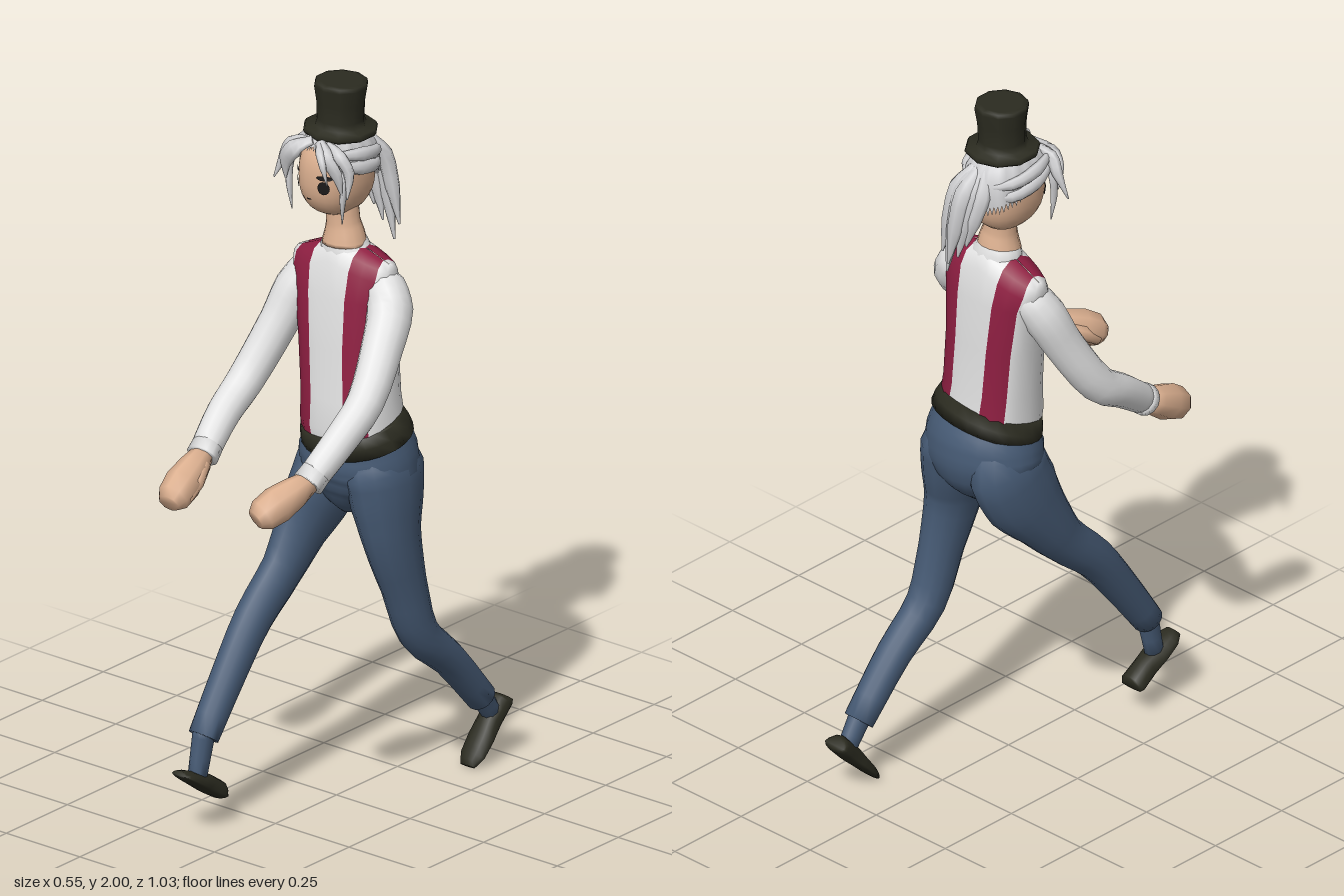
import * as THREE from 'three';
import { mergeVertices } from 'three/addons/utils/BufferGeometryUtils.js';

const paint = (name, color, side = THREE.FrontSide) => {
  const m = new THREE.MeshStandardMaterial({ color, side });
  m.name = name;
  return m;
};

export function createModel() {
  const white = paint('shirt white', 0xe2e2e2);
  const red = paint('stripe red', 0x8f1f42);
  const blue = paint('trouser blue', 0x465a74);
  const dark = paint('dark leather', 0x2b2b20);
  const skin = paint('skin', 0xdcb090);
  const silver = paint('silver hair', 0xd0d0d2, THREE.DoubleSide);
  const black = paint('face black', 0x1c1a1a);

  const model = new THREE.Group();
  const add = (name, geo, mat) => {
    const mesh = new THREE.Mesh(geo, mat);
    mesh.name = name;
    model.add(mesh);
    return mesh;
  };
  const finish = (pos, idx) => {
    const g = new THREE.BufferGeometry();
    g.setAttribute('position', new THREE.Float32BufferAttribute(pos, 3));
    g.setIndex(idx);
    g.computeVertexNormals();
    return g;
  };

  // Elliptical limb through sections [x, y, z, sideRadius, normalRadius]
  const loft = (secs, sides = 14, steps = 3, low = 1) => {
    const curve = new THREE.CatmullRomCurve3(secs.map(s => new THREE.Vector3(s[0], s[1], s[2])));
    const n = (secs.length - 1) * steps, pos = [], idx = [];
    const X = new THREE.Vector3(1, 0, 0);
    for (let i = 0; i <= n; i++) {
      const t = i / n, k = Math.min(Math.floor(i / steps), secs.length - 2), f = i / steps - k;
      const c = curve.getPoint(t), T = curve.getTangent(t);
      const S = X.clone().addScaledVector(T, -T.x).normalize();
      const N = T.clone().cross(S);
      const rx = THREE.MathUtils.lerp(secs[k][3], secs[k + 1][3], f);
      const rn = THREE.MathUtils.lerp(secs[k][4], secs[k + 1][4], f);
      for (let j = 0; j < sides; j++) {
        const a = j / sides * Math.PI * 2, s = Math.sin(a);
        const p = c.clone().addScaledVector(S, rx * Math.cos(a)).addScaledVector(N, rn * s * (s < 0 ? low : 1));
        pos.push(p.x, p.y, p.z);
        if (i < n) {
          const q = i * sides + j, r = i * sides + (j + 1) % sides;
          idx.push(q, r, q + sides, r, r + sides, q + sides);
        }
      }
    }
    // end caps
    for (let j = 1; j < sides - 1; j++) {
      const e = n * sides;
      idx.push(0, j + 1, j, e, e + j, e + j + 1);
    }
    return finish(pos, idx);
  };

  // Shirt body: rings [y, shoulderDrop, cx, cz, halfX, halfZ], striped by column
  const half = [1, 0.96, 0.84, 0.62, 0.4, 0.2, 0];
  const across = [...half, ...half.slice(0, -1).reverse().map(u => -u)];
  const columns = [...across.map(u => [u, -1]), ...across.slice(1, -1).reverse().map(u => [u, 1])];
  const rings = [
    [1.0, 0, 0.012, -0.06, 0.138, 0.11], [1.06, 0, 0.012, -0.052, 0.138, 0.115], [1.14, 0, 0.005, -0.053, 0.136, 0.104],
    [1.28, 0, -0.005, -0.055, 0.139, 0.098], [1.42, 0, -0.015, -0.06, 0.153, 0.088],
    [1.515, 0.05, -0.02, -0.063, 0.164, 0.073], [1.552, 0.055, -0.021, -0.063, 0.165, 0.052],
    [1.57, 0.06, -0.021, -0.063, 0.16, 0.02], [1.572, 0.062, -0.021, -0.063, 0.155, 0.001],
  ];
  const pos = [], plain = [], striped = [], m = columns.length;
  rings.forEach(([y, drop, cx, cz, a, c], i) => columns.forEach(([u, s], j) => {
    const w = Math.abs(u);
    pos.push(cx + u * a, y - drop * w + (drop ? 0.01 * u : 0), cz + s * c * (1 - w ** 2.5) ** 0.4);
    if (i === rings.length - 1) return;
    const mid = Math.abs(u + columns[(j + 1) % m][0]) / 2;
    const q = i * m + j, r = i * m + (j + 1) % m;
    (mid > 0.4 && mid < 0.84 ? striped : plain).push(q, r, q + m, r, r + m, q + m);
  }));
  const body = finish(pos, [...plain, ...striped]);
  body.addGroup(0, plain.length, 0);
  body.addGroup(plain.length, striped.length, 1);
  add('shirtBody', body, [white, red]);
  add('collar', loft([[-0.018, 1.52, -0.062, 0.078, 0.062], [-0.02, 1.545, -0.06, 0.07, 0.058], [-0.02, 1.562, -0.058, 0.06, 0.054]]), white);

  // Belt and trousers
  add('belt', loft([[0.018, 1.011, -0.065, 0.165, 0.132], [0.015, 1.039, -0.057, 0.161, 0.129], [0.012, 1.067, -0.049, 0.15, 0.122]], 24, 1), dark);
  add('hips', loft([[0.008, 0.8, -0.07, 0.03, 0.05], [0.008, 0.835, -0.072, 0.085, 0.09], [0.01, 0.88, -0.076, 0.145, 0.122],
    [0.013, 0.93, -0.078, 0.174, 0.138], [0.015, 0.98, -0.072, 0.168, 0.139], [0.015, 1.035, -0.06, 0.152, 0.122]], 24), blue);
  add('rightLeg', loft([[-0.055, 1.0, -0.085, 0.055, 0.08], [-0.081, 0.92, -0.09, 0.08, 0.122], [-0.095, 0.82, -0.045, 0.075, 0.116], [-0.11, 0.73, 0.015, 0.06, 0.086],
    [-0.115, 0.64, 0.085, 0.052, 0.065], [-0.12, 0.535, 0.198, 0.05, 0.056], [-0.12, 0.405, 0.3, 0.046, 0.049], [-0.12, 0.265, 0.4, 0.042, 0.042]]), blue);
  add('leftLeg', loft([[0.075, 1.0, -0.07, 0.07, 0.1], [0.1, 0.93, -0.073, 0.087, 0.128], [0.113, 0.84, -0.072, 0.08, 0.114], [0.126, 0.75, -0.074, 0.066, 0.092],
    [0.136, 0.6, -0.112, 0.055, 0.068], [0.141, 0.45, -0.165, 0.053, 0.056], [0.147, 0.34, -0.28, 0.048, 0.047], [0.15, 0.19, -0.41, 0.042, 0.042]]), blue);
  add('rightAnkle', loft([[-0.12, 0.29, 0.395, 0.032, 0.032], [-0.122, 0.15, 0.425, 0.024, 0.028]], 10), blue);
  add('leftAnkle', loft([[0.149, 0.21, -0.4, 0.032, 0.032], [0.146, 0.12, -0.465, 0.024, 0.028]], 10), blue);

  // Shoes run heel to toe with a flattened sole
  const shoe = (name, heel, toe) => {
    const profile = [[0, 0.034, 0.018], [0.06, 0.039, 0.034], [0.35, 0.036, 0.036], [0.6, 0.041, 0.027], [0.85, 0.039, 0.02], [1, 0.024, 0.012]];
    add(name, loft(profile.map(([t, rx, rn]) => [...heel.map((h, k) => h + (toe[k] - h) * t), rx, rn]), 12, 2, 0.45), dark);
  };
  shoe('rightShoe', [-0.122, 0.084, 0.337], [-0.122, 0.187, 0.497]);
  shoe('leftShoe', [0.145, 0.158, -0.507], [0.145, 0.006, -0.362]);

  // Sleeves, cuffs and closed hands
  const arm = (side, sleeve, hand, thumb) => {
    const [p, w] = sleeve.slice(-2), cuff = w.slice(0, 3).map((v, k) => v + (v - p[k]) * 0.06);
    const back = w.slice(0, 3).map((v, k) => v - (v - p[k]) * 0.2);
    add(side + 'Sleeve', loft(sleeve.map(s => [...s, s[3]])), white);
    add(side + 'Cuff', loft([[...back, 0.042, 0.042], [...cuff, 0.044, 0.044]], 14, 1), white);
    const sizes = [[0, 0.03, 0.03], [0.27, 0.042, 0.041], [0.6, 0.05, 0.051], [0.88, 0.045, 0.045], [1, 0.031, 0.028]];
    add(side + 'Hand', loft(sizes.map(([t, rx, rn]) => [...w.slice(0, 3).map((v, k) => v + (hand[k] - v) * t), rx, rn]), 8, 1), skin);
    add(side + 'Thumb', loft(thumb, 7, 1), skin);
  };
  arm('left', [[0.085, 1.465, -0.063, 0.04], [0.115, 1.452, -0.06, 0.056], [0.148, 1.405, -0.04, 0.062], [0.18, 1.33, 0.03, 0.056], [0.22, 1.22, 0.15, 0.05],
    [0.217, 1.15, 0.24, 0.046], [0.2, 1.06, 0.35, 0.041]], [0.145, 0.985, 0.505],
    [[0.16, 1.045, 0.37, 0.015, 0.018], [0.132, 1.02, 0.42, 0.02, 0.02], [0.122, 0.985, 0.465, 0.013, 0.013]]);
  arm('right', [[-0.11, 1.452, -0.063, 0.04], [-0.138, 1.437, -0.06, 0.055], [-0.166, 1.385, -0.035, 0.06], [-0.19, 1.3, 0.005, 0.054], [-0.228, 1.15, 0.1, 0.05],
    [-0.225, 1.09, 0.19, 0.046], [-0.207, 1.012, 0.295, 0.041]], [-0.192, 0.925, 0.455],
    [[-0.18, 0.995, 0.32, 0.015, 0.018], [-0.165, 0.965, 0.37, 0.018, 0.02], [-0.165, 0.93, 0.41, 0.013, 0.013]]);

  // Head: a rounded-off ellipsoid
  const C = [-0.045, 1.75, -0.057], R = [0.086, 0.12, 0.108], E = 2.4;
  const onHead = (x, y, z, grow = 1) => {
    const s = grow * (Math.abs(x) ** E + Math.abs(y) ** E + Math.abs(z) ** E) ** (-1 / E);
    return [C[0] + x * s * R[0], C[1] + y * s * R[1], C[2] + z * s * R[2]];
  };
  const reshape = (geo, rule) => {
    const p = geo.attributes.position;
    for (let i = 0; i < p.count; i++) p.setXYZ(i, ...rule(p.getX(i), p.getY(i), p.getZ(i), geo.attributes.uv, i));
    geo.deleteAttribute('uv');
    geo.deleteAttribute('normal');
    const g = mergeVertices(geo, 1e-5);
    g.computeVertexNormals();
    return g;
  };
  add('head', reshape(new THREE.SphereGeometry(1, 28, 20), (x, y, z) => onHead(x, y, z)), skin);
  add('neck', loft([[-0.02, 1.55, -0.058, 0.064, 0.057], [-0.021, 1.575, -0.058, 0.057, 0.052], [-0.024, 1.61, -0.057, 0.047, 0.044], [-0.03, 1.68, -0.057, 0.044, 0.043]]), skin);

  // Face marks laid on the head surface
  const mark = (name, cx, cy, rx, ry, tilt = 0) => {
    const g = new THREE.CircleGeometry(1, 16);
    add(name, reshape(g, (x, y) => {
      const px = cx + rx * x * Math.cos(tilt) - ry * y * Math.sin(tilt), py = cy + rx * x * Math.sin(tilt) + ry * y * Math.cos(tilt);
      const d = 1 - Math.abs((px - C[0]) / R[0]) ** E - Math.abs((py - C[1]) / R[1]) ** E;
      return [px, py, C[2] + R[2] * Math.max(d, 0) ** (1 / E) + 0.004];
    }), black);
  };
  mark('rightEye', -0.107, 1.73, 0.014, 0.019);
  mark('leftEye', -0.006, 1.736, 0.015, 0.019);
  mark('rightBrow', -0.107, 1.766, 0.02, 0.006, 0.1);
  mark('leftBrow', -0.004, 1.764, 0.021, 0.007, -0.03);
  mark('mouth', -0.054, 1.695, 0.009, 0.0025, 0.1);

  // Hair cap: grooved shell, high over the forehead and low at the back
  add('hairCap', reshape(new THREE.SphereGeometry(1, 64, 10), (x, y, z, uv, i) => {
    const a = uv.getX(i) * Math.PI * 2, v = 1 - uv.getY(i), f = Math.cos(a);
    const t = v * Math.acos(f > 0 ? 0.1 + 0.48 * f * f : 0.1 + 0.4 * f);
    return onHead(Math.sin(t) * Math.sin(a), Math.cos(t), Math.sin(t) * f, 1.1 + 0.025 * v * Math.cos(16 * a));
  }), silver);
  const lock = (name, pts, w, d) => add(name, loft(pts.map((p, k) => {
    const s = [0.55, 1, 0.85, 0.12][k];
    return [...p, w * s, d * s];
  }), 7, 3), silver);
  // Fringe, temple strands and side sweeps
  for (const s of [-1, 1]) {
    const side = s < 0 ? 'right' : 'left', at = (x, y, z) => [-0.045 + s * x, y, z];
    lock(side + 'Fringe', [at(0.012, 1.855, 0.03), at(0.052, 1.83, 0.055), at(0.085, 1.79, 0.05), at(0.095, 1.73, 0.04)], 0.026, 0.013);
    lock(side + 'FringeTip', [at(0.03, 1.85, 0.02), at(0.08, 1.83, 0.03), at(0.108, 1.79, 0.025), at(s < 0 ? 0.138 : 0.11, 1.72, 0.035)], 0.02, 0.016);
    lock(side + 'TempleStrand', [at(0.07, 1.82, 0.02), at(0.092, 1.77, 0.025), at(0.091, 1.71, 0.03), at(0.085, 1.64, 0.025)], 0.01, 0.012);
    lock(side + 'UpperSweep', [at(0.072, 1.83, 0.03), at(0.094, 1.82, -0.04), at(0.082, 1.805, -0.12), at(0.0, 1.785, -0.18)], 0.016, 0.02);
    lock(side + 'LowerSweep', [at(0.08, 1.8, 0.025), at(0.095, 1.782, -0.04), at(0.082, 1.768, -0.12), at(0.0, 1.765, -0.18)], 0.014, 0.02);
  }
  lock('middleFringe', [[-0.035, 1.855, 0.03], [-0.005, 1.84, 0.062], [0.016, 1.81, 0.075], [0.026, 1.76, 0.07]], 0.012, 0.01);

  // Ponytail of tapering strands
  [[0, 0, 1.52], [-0.03, 0.01, 1.57], [0.022, 0.006, 1.57], [-0.055, 0.016, 1.61], [-0.012, -0.008, 1.55]].forEach(([x, z, end], k) =>
    lock('ponytail' + (k + 1), [[-0.03 + x * 0.5, 1.83, -0.145], [-0.012 + x, 1.77, -0.187 + z], [0.006 + x, (1.77 + end) / 2, -0.202 + z], [0.025 + x, end, -0.207 + z]], 0.028, 0.02));

  // Top hat
  const hatProfile = [[0, -0.008], [0.096, -0.008], [0.101, 0], [0.096, 0.009], [0.07, 0.013], [0.064, 0.03], [0.066, 0.08], [0.073, 0.124], [0.07, 0.134], [0.056, 0.136], [0, 0.135]];
  const hat = add('topHat', new THREE.LatheGeometry(hatProfile.map(p => new THREE.Vector2(...p)), 10), dark);
  hat.position.set(-0.043, 1.864, -0.068);
  hat.rotation.z = -0.02;

  return model;
}
